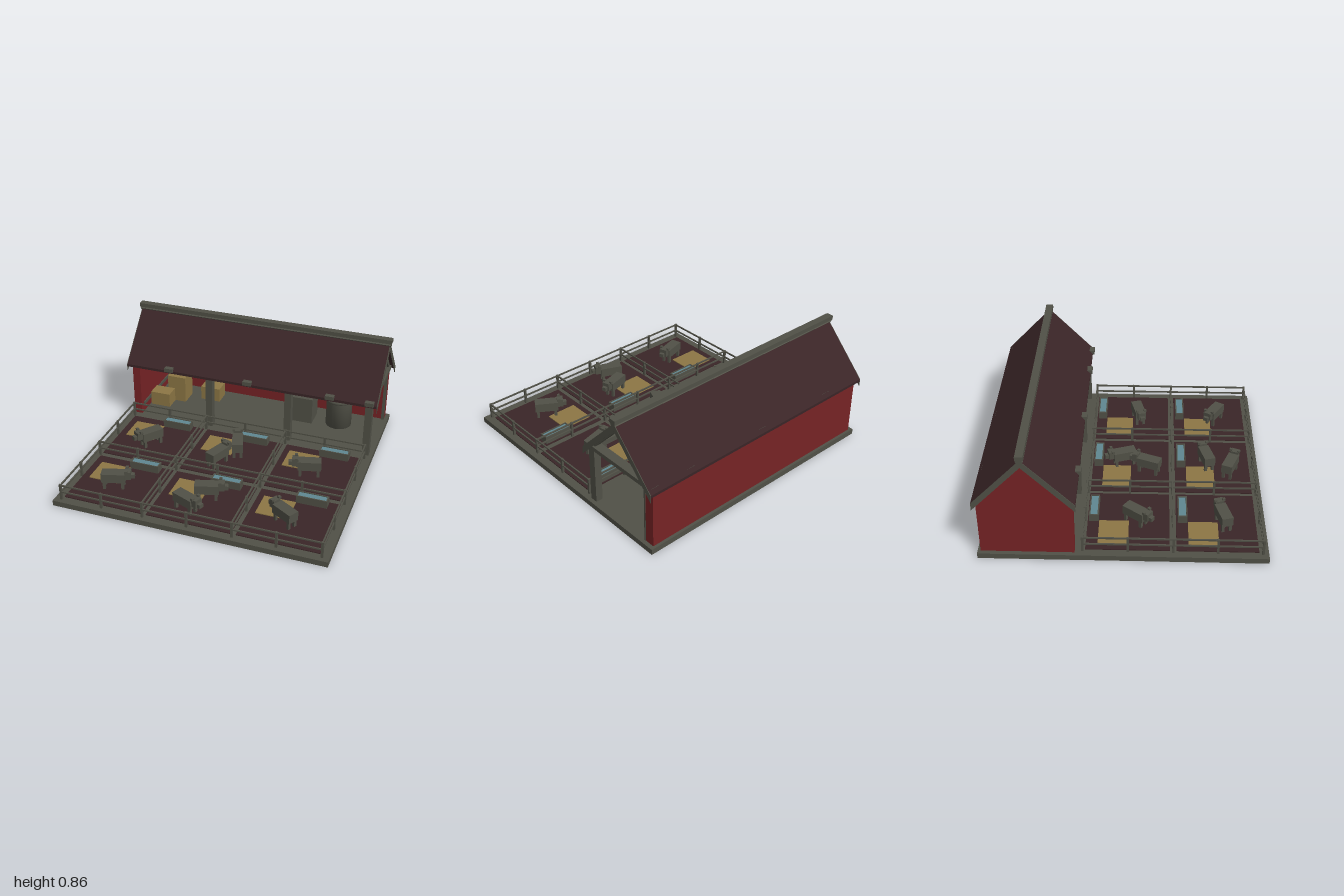
import * as THREE from 'three';

const mat = (name, color) => {
  const m = new THREE.MeshStandardMaterial({ color });
  m.name = name;
  return m;
};

export function createModel() {
  const grey = mat('grey timber', 0x505046);
  const maroon = mat('dark maroon', 0x3a2527);
  const red = mat('barn red', 0x762325);
  const gold = mat('straw', 0x8c7644);
  const blue = mat('water', 0x5f8790);
  const root = new THREE.Group();

  const add = (name, geo, material, parent = root) => {
    const mesh = new THREE.Mesh(geo, material);
    mesh.name = name;
    parent.add(mesh);
    return mesh;
  };
  // Box given by its lower and upper limits on each axis
  const box = (name, material, x0, x1, y0, y1, z0, z1, parent = root) => {
    const mesh = add(name, new THREE.BoxGeometry(x1 - x0, y1 - y0, z1 - z0), material, parent);
    mesh.position.set((x0 + x1) / 2, (y0 + y1) / 2, (z0 + z1) / 2);
    return mesh;
  };
  // Profile of [z, y] points extruded along x
  const extrudeX = (name, material, points, x0, x1, parent = root) => {
    const shape = new THREE.Shape(points.map(([z, y]) => new THREE.Vector2(-z, y)));
    const geo = new THREE.ExtrudeGeometry(shape, { depth: x1 - x0, bevelEnabled: false });
    geo.rotateY(Math.PI / 2);
    const mesh = add(name, geo, material, parent);
    mesh.position.x = x0;
    return mesh;
  };
  const group = (name) => {
    const g = new THREE.Group();
    g.name = name;
    root.add(g);
    return g;
  };

  // Base slab
  box('base', grey, -0.98, 0.98, 0, 0.04, -0.97, 0.97);

  // Barn walls: closed back and one gable end, open front and other end
  const barn = group('barn');
  const ridgeZ = -0.638, half = 0.335, slope = 1.045;
  const roofY = (d, drop) => 0.825 - d * slope - drop;
  box('backWall', red, -0.95, 0.95, 0.04, 0.47, -0.95, -0.88, barn);
  extrudeX('gableWall', red, [
    [ridgeZ + 0.315, 0.04], [ridgeZ + 0.315, roofY(0.315, 0.02)], [ridgeZ, roofY(0, 0.02)],
    [ridgeZ - 0.312, roofY(0.312, 0.02)], [ridgeZ - 0.312, 0.04],
  ], -0.95, -0.89, barn);

  // Timber frame
  for (const x of [-0.315, 0.315, 0.925])
    box('frontPost', grey, x - 0.026, x + 0.026, 0.04, 0.47, -0.375, -0.32, barn);
  box('backPost', grey, 0.93, 0.953, 0.04, 0.47, -0.88, -0.868, barn);
  box('frontPlate', grey, -0.95, 0.95, 0.46, 0.495, -0.375, -0.325, barn);
  box('wallRail', grey, -0.89, -0.88, 0.1, 0.125, -0.88, -0.36, barn);
  for (const x of [-0.635, 0, 0.635, 0.93])
    box('tieBeam', grey, x - 0.033, x + 0.033, 0.47, 0.5, -0.95, -0.288, barn);
  box('kingPost', grey, 0.92, 0.94, 0.7, 0.8, -0.65, -0.626, barn);

  // Roof: thin chevron, rafters beneath it, edge boards at both ends
  const chevron = (name, material, top, bottom, x0, x1, d) => extrudeX(name, material, [
    [ridgeZ + d, roofY(d, top)], [ridgeZ, roofY(0, top)], [ridgeZ - d, roofY(d, top)],
    [ridgeZ - d, roofY(d, bottom)], [ridgeZ, roofY(0, bottom)], [ridgeZ + d, roofY(d, bottom)],
  ], x0, x1, barn);
  chevron('roof', maroon, 0, 0.02, -0.984, 0.984, half);
  for (const x of [-0.635, 0, 0.635, 0.93]) chevron('rafter', grey, 0.02, 0.062, x - 0.02, x + 0.02, 0.31);
  for (const x of [-0.988, 0.984]) chevron('edgeBoard', grey, 0, 0.055, x, x + 0.004, half);
  const ridge = add('ridgeBeam', new THREE.BoxGeometry(1.99, 0.035, 0.035), grey, barn);
  ridge.rotation.x = Math.PI / 4;
  ridge.position.set(0, 0.818, ridgeZ);
  box('ridgeCap', grey, -1, 1, 0.83, 0.86, -0.665, -0.612, barn);

  // Stored goods in the barn
  const tankProfile = [[0, 0.04], [0.1, 0.04], [0.1, 0.255], [0.107, 0.255], [0.107, 0.268],
    [0.098, 0.28], [0.075, 0.29], [0, 0.292]].map(([r, y]) => new THREE.Vector2(r, y));
  const tank = add('tank', new THREE.LatheGeometry(tankProfile, 24), grey);
  tank.position.set(0.625, 0, -0.705);
  box('cabinet', grey, 0.26, 0.43, 0.04, 0.25, -0.79, -0.62);
  box('strawBale', gold, -0.88, -0.72, 0.04, 0.152, -0.6, -0.485);
  box('strawBale', gold, -0.78, -0.63, 0.04, 0.255, -0.755, -0.605);
  box('strawBale', gold, -0.53, -0.37, 0.04, 0.152, -0.83, -0.7);

  // Six pens with floor, straw bed and water trough
  const columns = [
    { floor: [-0.92, -0.335], bed: [-0.865, -0.635], trough: -0.64 },
    { floor: [-0.305, 0.305], bed: [-0.25, -0.01], trough: -0.015 },
    { floor: [0.34, 0.92], bed: [0.385, 0.615], trough: 0.61 },
  ];
  const rows = [
    { floor: [-0.255, 0.31], z: 0 },
    { floor: [0.355, 0.905], z: 0.612 },
  ];
  for (const c of columns) for (const r of rows) {
    const pen = group('pen');
    box('penFloor', maroon, ...c.floor, 0.04, 0.046, ...r.floor, pen);
    box('strawBed', gold, ...c.bed, 0.046, 0.052, -0.175 + r.z, 0.03 + r.z, pen);
    const x0 = c.trough, x1 = x0 + 0.22, z0 = -0.245 + r.z, z1 = z0 + 0.066;
    box('trough', grey, x0, x1, 0.04, 0.095, z0, z1, pen);
    box('water', blue, x0 + 0.01, x1 - 0.01, 0.095, 0.099, z0 + 0.009, z1 - 0.009, pen);
    for (const z of [z0, z1 - 0.008]) box('troughRim', grey, x0, x1, 0.095, 0.104, z, z + 0.008, pen);
    for (const x of [x0, x1 - 0.009]) box('troughRim', grey, x, x + 0.009, 0.095, 0.104, z0, z1, pen);
  }

  // Fences around and between the pens: curb, two rails and posts
  const fence = group('fence');
  const xs = [-0.93, -0.625, -0.32, 0, 0.32, 0.625, 0.93];
  const zs = [-0.272, 0.03, 0.333, 0.63, 0.93];
  const post = (x, z) => box('fencePost', grey, x - 0.008, x + 0.008, 0.04, 0.16, z - 0.008, z + 0.008, fence);
  for (const z of [zs[0], zs[2], zs[4]]) {
    for (const y of [0.095, 0.148])
      box('rail', grey, -0.935, 0.935, y, y + 0.01, z - 0.005, z + 0.005, fence);
    xs.forEach((x) => post(x, z));
  }
  for (const x of [xs[0], xs[2], xs[4], xs[6]]) {
    for (const y of [0.095, 0.148])
      box('rail', grey, x - 0.005, x + 0.005, y, y + 0.01, -0.272, 0.93, fence);
    post(x, zs[1]);
    post(x, zs[3]);
  }

  // Animals, each built facing +x and turned towards [dx, dz]
  const animals = [
    [-0.65, 0.1, -0.6, 0.8], [0.016, -0.05, -0.32, -0.95], [-0.055, 0.135, 0.37, -0.93],
    [0.575, 0.08, -0.96, 0.25], [-0.62, 0.67, 0.96, -0.28], [0.045, 0.58, 0.96, -0.28],
    [-0.045, 0.77, 0.92, 0.38], [0.58, 0.66, -0.85, -0.52],
  ];
  for (const [x, z, dx, dz] of animals) {
    const a = group('animal');
    box('body', grey, -0.115, 0.055, 0.1, 0.168, -0.04, 0.04, a);
    box('head', grey, 0.05, 0.095, 0.125, 0.185, -0.03, 0.03, a);
    box('snout', grey, 0.095, 0.12, 0.128, 0.158, -0.018, 0.018, a);
    for (const s of [-1, 1]) {
      box('ear', grey, 0.055, 0.075, 0.18, 0.197, s * 0.03 - 0.01, s * 0.03 + 0.01, a);
      for (const lx of [-0.095, 0.035])
        box('leg', grey, lx - 0.01, lx + 0.01, 0.044, 0.102, s * 0.026 - 0.01, s * 0.026 + 0.01, a);
    }
    a.position.set(x, 0, z);
    a.rotation.y = Math.atan2(-dz, dx);
  }
  return root;
}
